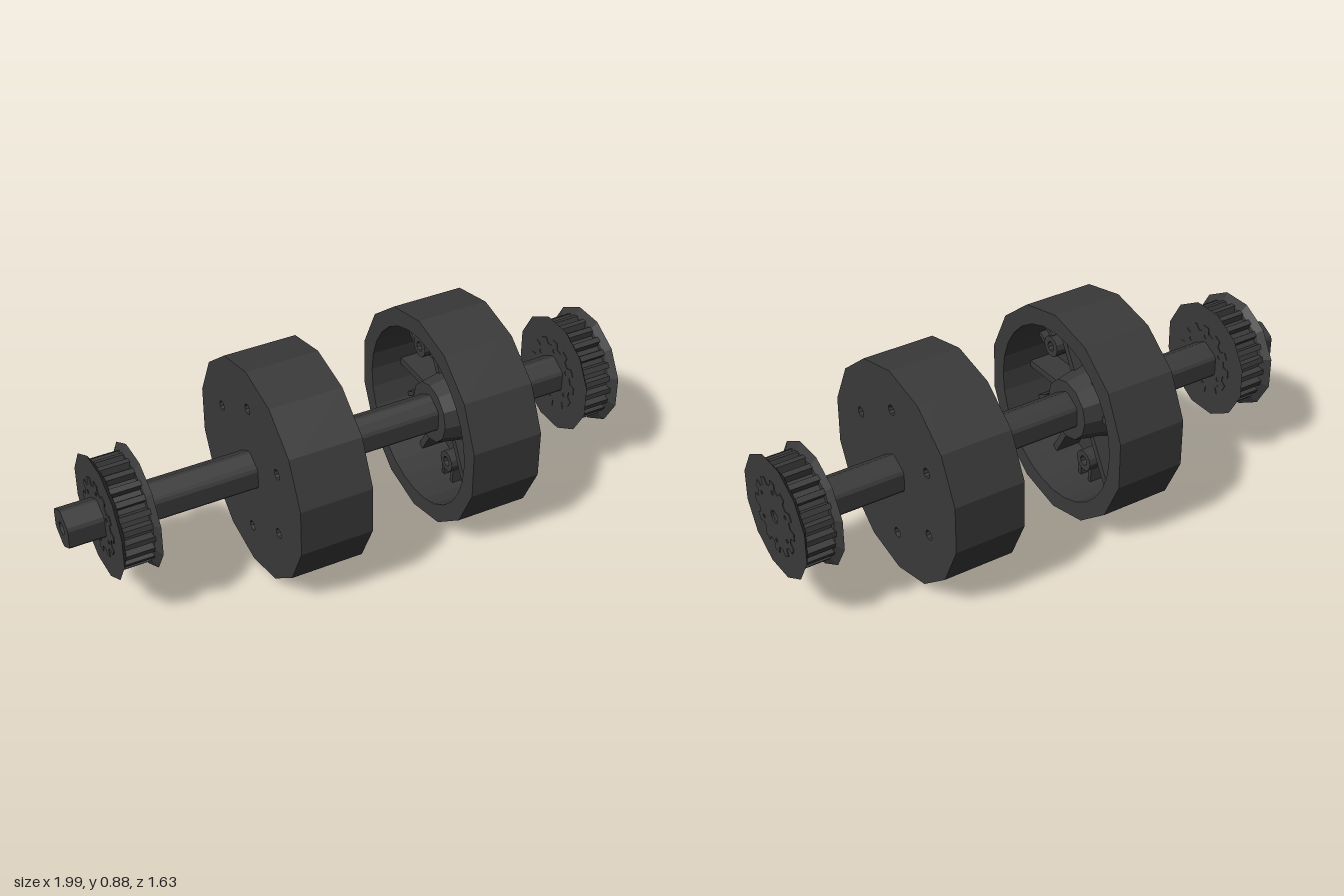
import * as THREE from 'three';

const darkGrey = new THREE.MeshStandardMaterial({ color: 0x3a3a3a, flatShading: true });
darkGrey.name = 'darkGrey';

// regular polygon points, first corner at the given angle
function ring(n, r, start = Math.PI / 2, cx = 0, cy = 0) {
  return Array.from({ length: n }, (_, i) => {
    const a = start + (i / n) * Math.PI * 2;
    return new THREE.Vector2(cx + r * Math.cos(a), cy + r * Math.sin(a));
  });
}

// toothed outline: each tooth is a trapezoid
function toothed(n, inner, outer) {
  const pts = [];
  for (let i = 0; i < n; i++) {
    [[-0.3, inner], [-0.2, outer], [0.2, outer], [0.3, inner]].forEach(([f, r]) => {
      const a = Math.PI / 2 + ((i + f) / n) * Math.PI * 2;
      pts.push(new THREE.Vector2(r * Math.cos(a), r * Math.sin(a)));
    });
  }
  return pts;
}

function mesh(name, geometry, parent) {
  const m = new THREE.Mesh(geometry, darkGrey);
  m.name = name;
  parent.add(m);
  return m;
}

// plate from z0 to z1 along the axle
function plate(name, outline, holes, z0, z1, parent) {
  const shape = new THREE.Shape(outline);
  holes.forEach((h) => shape.holes.push(new THREE.Path(h)));
  const g = new THREE.ExtrudeGeometry(shape, { depth: z1 - z0, bevelEnabled: false });
  g.translate(0, 0, z0);
  return mesh(name, g, parent);
}

// solid of revolution about the axle
function turned(name, profile, sides, start, parent) {
  const g = new THREE.LatheGeometry(profile.map(([r, z]) => new THREE.Vector2(r, z)), sides, start);
  g.rotateX(Math.PI / 2);
  return mesh(name, g, parent);
}

// cup-shaped wheel: closed face at z = 0, cavity opening towards +z
function makeWheel(name) {
  const wheel = new THREE.Group();
  wheel.name = name;
  const width = 0.293, radius = 0.4425, floor = 0.05;
  const boltAngles = Array.from({ length: 6 }, (_, i) => Math.PI / 2 + (i * Math.PI) / 3);
  const boltHole = (a) => ring(10, 0.021, 0, 0.277 * Math.cos(a), 0.277 * Math.sin(a));

  plate('wheelFace', ring(14, radius), boltAngles.map(boltHole), 0, floor, wheel);
  plate('wheelRim', ring(14, radius), [ring(28, 0.365)], floor, width, wheel);
  turned('wheelHub', [[0.07, floor], [0.17, floor], [0.145, 0.13], [0.125, 0.235], [0.07, 0.235]], 12, 0, wheel);

  boltAngles.forEach((a) => {
    const x = 0.277 * Math.cos(a), y = 0.277 * Math.sin(a);
    plate('boltBoss', ring(12, 0.045, 0, x, y), [boltHole(a)], floor, 0.147, wheel);
    // twin webs tying the boss to the rim
    [-1, 1].forEach((s) => {
      const web = new THREE.BoxGeometry(0.07, 0.018, 0.09);
      web.translate(0.335, s * 0.034, 0.095);
      web.rotateZ(a);
      mesh('bossWeb', web, wheel);
    });
    // rib from hub to rim, between the bosses
    const rib = new THREE.BoxGeometry(0.25, 0.028, 0.11);
    rib.translate(0.245, 0, 0.105);
    rib.rotateZ(a + Math.PI / 6);
    mesh('hubRib', rib, wheel);
  });
  return wheel;
}

// flanged toothed pulley, centred on z = 0
function makePulley(name) {
  const pulley = new THREE.Group();
  pulley.name = name;
  const half = 0.075, bore = 0.08;
  plate('pulleyTeeth', toothed(24, 0.185, 0.212), [ring(12, bore)], -0.06, 0.06, pulley);
  [0, 1].forEach((k) => {
    const side = new THREE.Group();
    side.name = 'pulleySide';
    side.rotation.y = k * Math.PI;
    // flared flange
    turned('flange', [[bore, 0.055], [0.212, 0.055], [0.244, half], [bore, half], [bore, 0.055]],
      12, Math.PI / 12, side);
    // splined insert with a ring of pin holes
    const pins = ring(6, 0.105).map((p) => ring(6, 0.009, 0, p.x, p.y));
    plate('splineInsert', toothed(12, 0.125, 0.152), [ring(12, 0.026), ...pins], half - 0.004, half + 0.003, side);
    pulley.add(side);
  });
  return pulley;
}

export function createModel() {
  const model = new THREE.Group();
  model.name = 'wheelAxle';
  const axle = new THREE.Group();
  axle.name = 'axleAssembly';
  axle.position.y = 0.4425;
  axle.rotation.y = Math.atan2(0.803, -0.596);
  model.add(axle);

  // hexagonal shaft with trimmed corners and a centre bore
  const hex = [];
  for (let i = 0; i < 6; i++) {
    const a = Math.PI / 2 + (i * Math.PI) / 3;
    [-0.09, 0.09].forEach((d) => hex.push(new THREE.Vector2(0.08 * Math.cos(a + d), 0.08 * Math.sin(a + d))));
  }
  plate('hexShaft', hex, [ring(12, 0.026)], -1.19, 1.055, axle);

  // wheels, hollow sides facing each other
  const rightWheel = makeWheel('rightWheel');
  rightWheel.position.z = -0.443;
  const leftWheel = makeWheel('leftWheel');
  leftWheel.position.z = 0.568;
  leftWheel.rotation.y = Math.PI;

  const rightPulley = makePulley('rightPulley');
  rightPulley.position.z = -0.972;
  const leftPulley = makePulley('leftPulley');
  leftPulley.position.z = 0.985;

  axle.add(rightWheel, leftWheel, rightPulley, leftPulley);
  return model;
}
